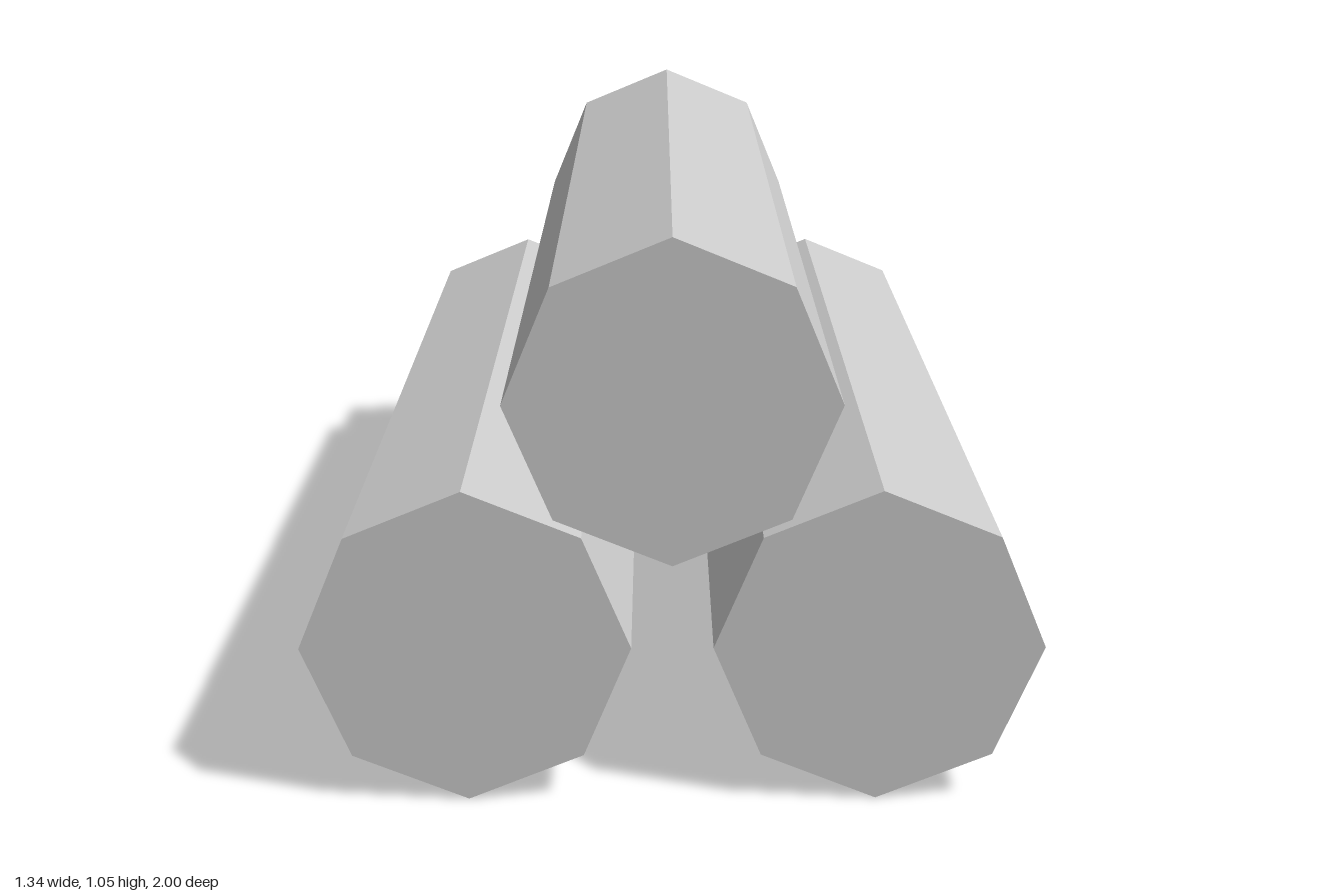
import * as THREE from 'three';

const RADIUS = 0.299;
const LENGTH = 2;

export function createModel() {
  const group = new THREE.Group();
  group.name = 'logPile';
  const material = new THREE.MeshStandardMaterial({ color: 0xcccccc, flatShading: true });

  // Eight-sided log lying along z, with a corner pointing up
  const logGeometry = new THREE.CylinderGeometry(RADIUS, RADIUS, LENGTH, 8).rotateX(Math.PI / 2);

  // Two logs on the ground and one resting in the gap above
  const logs = [
    ['leftLog', 0.373, RADIUS],
    ['rightLog', -0.373, RADIUS],
    ['topLog', 0, 0.756],
  ];
  for (const [name, x, y] of logs) {
    const log = new THREE.Mesh(logGeometry, material);
    log.name = name;
    log.position.set(x, y, 0);
    group.add(log);
  }
  return group;
}
